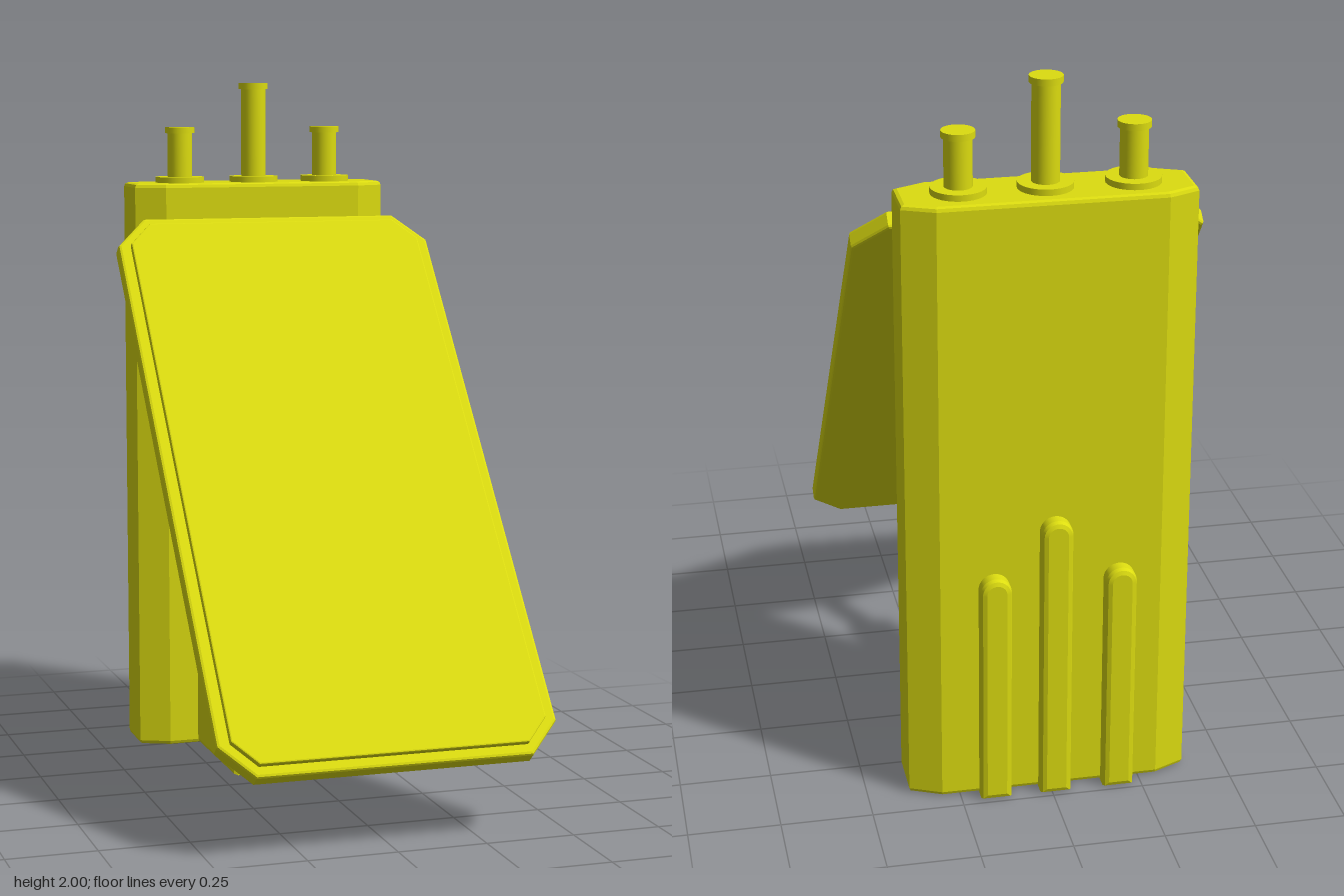
import * as THREE from 'three';

const yellow = new THREE.MeshStandardMaterial({ color: 0xdcdc10 });
yellow.name = 'yellow';

function add(parent, name, geometry, x = 0, y = 0, z = 0) {
  const mesh = new THREE.Mesh(geometry, yellow);
  mesh.name = name;
  mesh.position.set(x, y, z);
  parent.add(mesh);
  return mesh;
}

// Extrusion from z = 0 to z = depth whose bevel stays inside the outline
function slab(shape, depth, bevel) {
  const geometry = new THREE.ExtrudeGeometry(shape, {
    depth: depth - 2 * bevel, bevelEnabled: bevel > 0, bevelSize: bevel,
    bevelThickness: bevel, bevelOffset: -bevel, bevelSegments: 2, curveSegments: 24,
  });
  return geometry.translate(0, 0, bevel);
}

// Rectangle with cut corners, centred on the origin
function cutRect(w, h, cx, cy) {
  const a = w / 2, b = h / 2;
  return new THREE.Shape([
    [-a + cx, -b], [a - cx, -b], [a, -b + cy], [a, b - cy],
    [a - cx, b], [-a + cx, b], [-a, b - cy], [-a, -b + cy],
  ].map(([x, y]) => new THREE.Vector2(x, y)));
}

// Stack of cylinders along y, each given as [radius, bottom, top]
function stack(parent, name, sections) {
  const group = new THREE.Group();
  group.name = name;
  for (const [r, y0, y1] of sections) {
    add(group, name + 'Section', new THREE.CylinderGeometry(r, r, y1 - y0, 32), 0, (y0 + y1) / 2, 0);
  }
  parent.add(group);
  return group;
}

export function createModel() {
  const model = new THREE.Group();
  model.name = 'deviceOnStand';

  // Upright body
  add(model, 'body', slab(cutRect(0.77, 0.215, 0.085, 0.038), 1.705, 0.012).rotateX(-Math.PI / 2), 0, 0, -0.5875);

  // Three stubs on top, the middle one taller
  for (const [x, top] of [[-0.23, 1.87], [0, 2], [0.225, 1.87]]) {
    stack(model, 'topStub', [
      [0.073, 1.7, 1.722], [0.037, 1.72, top - 0.018], [0.044, top - 0.018, top],
    ]).position.set(x, 0, -0.585);
  }

  // Round-topped ribs on the back
  for (const [x, top] of [[-0.185, 0.67], [-0.01, 0.825], [0.155, 0.67]]) {
    const r = 0.042;
    const outline = new THREE.Shape();
    outline.moveTo(-r, 0);
    outline.lineTo(r, 0);
    outline.absarc(0, top - r, r, 0, Math.PI);
    add(model, 'backRib', slab(outline, 0.1, 0.015), x, 0, -0.74);
  }

  // Sloped foot in front of the body
  const side = new THREE.Shape([[-0.52, 0], [-0.09, 0], [-0.09, 0.18], [-0.52, 0.41]]
    .map(([z, y]) => new THREE.Vector2(z, y)));
  add(model, 'foot', slab(side, 0.435, 0.015).rotateY(-Math.PI / 2), 0.2225, 0, 0);

  // Leaning support arm
  const arm = stack(model, 'supportArm', [
    [0.09, -0.02, 0.02], [0.073, 0.02, 0.3], [0.058, 0.3, 0.318],
    [0.068, 0.318, 0.37], [0.033, 0.37, 0.63],
  ]);
  arm.position.set(0, 0.255, -0.225);
  arm.rotation.x = Math.PI / 6;

  // Tilted panel with raised face and a half-ring mount behind
  const panel = new THREE.Group();
  panel.name = 'tiltedPanel';
  panel.position.set(0, 0.8875, 0.125);
  panel.rotation.x = -0.701;
  model.add(panel);
  add(panel, 'panelFrame', slab(cutRect(0.95, 1.8, 0.09, 0.095), 0.05, 0.008));
  add(panel, 'panelFace', slab(cutRect(0.88, 1.74, 0.065, 0.07), 0.03, 0.004), 0, 0, 0.037);

  const ring = new THREE.Shape();
  ring.absarc(0, 0, 0.102, Math.PI / 2, Math.PI * 1.5);
  ring.absarc(0, 0, 0.066, Math.PI * 1.5, Math.PI / 2, true);
  add(panel, 'ringMount', slab(ring, 0.08, 0).rotateY(-Math.PI / 2), 0.04, -0.022, 0.002);

  return model;
}
